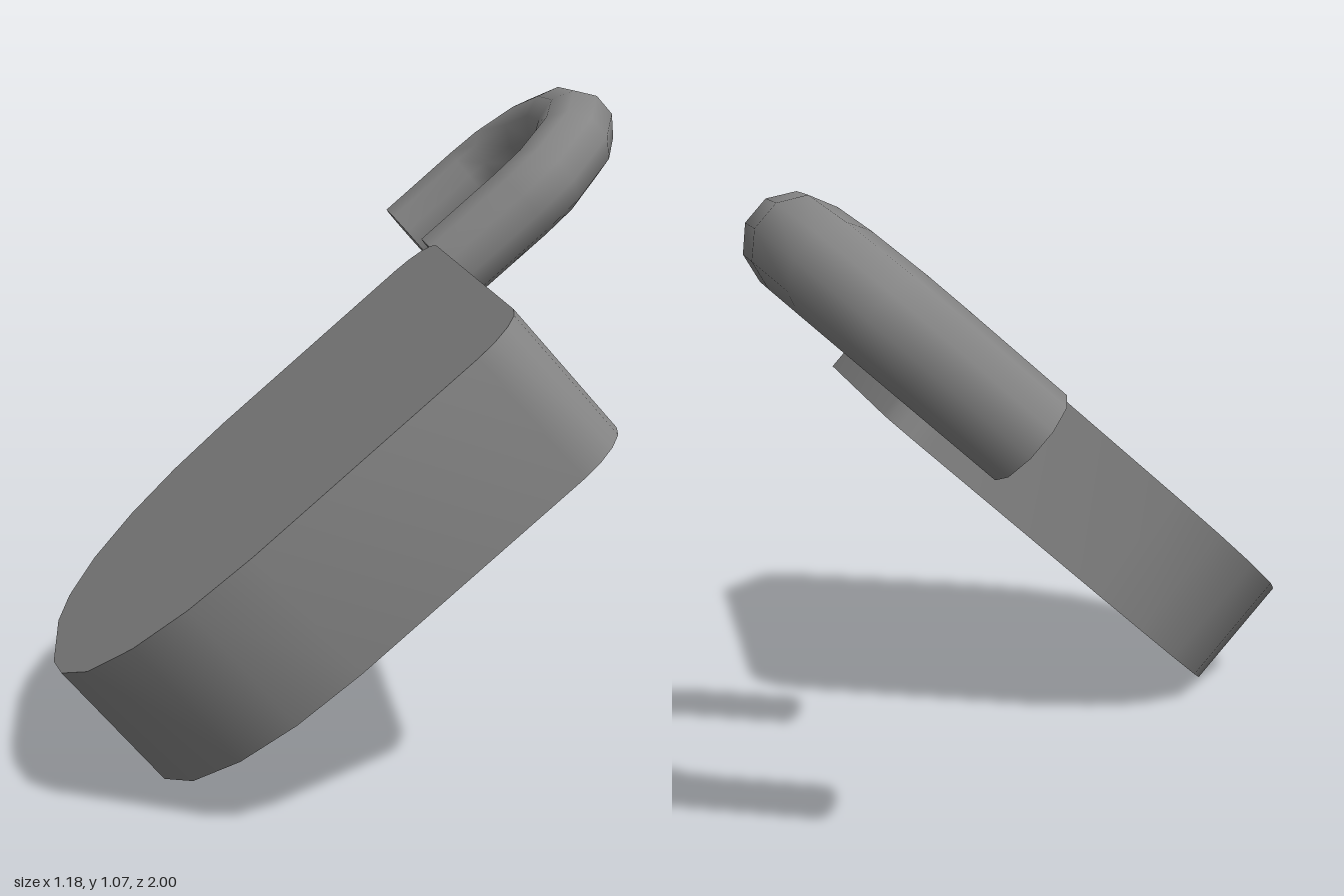
import * as THREE from 'three';
import { toCreasedNormals } from 'three/addons/utils/BufferGeometryUtils.js';

const TILT = Math.atan2(0.622, 0.712);
const material = new THREE.MeshStandardMaterial({ color: 0x858585 });

// Plate outline: x runs along the plate, y is half its width; the rounded end is at x = 0
function createBody() {
  const half = [[0, 0.12], [0.022, 0.23], [0.08, 0.347], [0.174, 0.437], [0.285, 0.49], [0.413, 0.511]];
  const r = 0.09;
  for (let i = 0; i <= 4; i++) {
    const a = (i / 4) * Math.PI / 2;
    half.push([0.946 - r + r * Math.sin(a), 0.511 - r + r * Math.cos(a)]);
  }
  const mirrored = half.map(([x, y]) => [x, -y]).reverse();
  const shape = new THREE.Shape([...half, ...mirrored].map(([x, y]) => new THREE.Vector2(x, y)));
  const geometry = new THREE.ExtrudeGeometry(shape, { depth: 0.246, bevelEnabled: false });
  geometry.rotateX(-Math.PI / 2);
  const body = new THREE.Mesh(toCreasedNormals(geometry, 0.7), material);
  body.name = 'lockBody';
  return body;
}

// Curve that places one tube ring exactly on each given point
class RingPath extends THREE.Curve {
  constructor(points) {
    super();
    this.points = points;
  }
  getPoint(t, target = new THREE.Vector3()) {
    const s = t * (this.points.length - 1);
    const i = Math.min(Math.floor(s + 1e-6), this.points.length - 2);
    return target.lerpVectors(this.points[i], this.points[i + 1], s - i);
  }
  getPointAt(t, target) {
    return this.getPoint(t, target);
  }
  getTangentAt(t, target = new THREE.Vector3()) {
    const last = this.points.length - 1;
    const i = Math.round(t * last);
    const p = this.points;
    const before = i > 0 ? p[i].clone().sub(p[i - 1]).normalize() : new THREE.Vector3();
    const after = i < last ? p[i + 1].clone().sub(p[i]).normalize() : new THREE.Vector3();
    return target.addVectors(before, after).normalize();
  }
}

// U-shaped bar with flat capped ends, laid out in the xy plane and then turned level
function createShackle() {
  const shackle = new THREE.Group();
  shackle.name = 'shackle';
  const radius = 0.083;
  const half = [[0, 0.309], [0.2, 0.309], [0.275, 0.294], [0.368, 0.206], [0.414, 0.08]];
  const mirrored = half.map(([x, y]) => [x, -y]).reverse();
  const points = [...half, ...mirrored].map(([x, y]) => new THREE.Vector3(x, y, 0));
  const geometry = new THREE.TubeGeometry(new RingPath(points), points.length - 1, radius, 10, false);
  geometry.rotateX(Math.PI / 2);
  const bar = new THREE.Mesh(geometry, material);
  bar.name = 'shackleBar';
  shackle.add(bar);

  for (const side of [1, -1]) {
    const cap = new THREE.Mesh(new THREE.CircleGeometry(radius, 10, Math.PI / 2), material);
    cap.name = side > 0 ? 'frontShackleEnd' : 'backShackleEnd';
    cap.rotation.y = -Math.PI / 2;
    cap.position.z = side * 0.309;
    shackle.add(cap);
  }
  return shackle;
}

export function createModel() {
  const model = new THREE.Group();
  model.name = 'padlock';

  const body = createBody();
  body.rotation.z = TILT;
  body.position.set(-0.43, 0, 0.487);

  const shackle = createShackle();
  shackle.rotation.z = TILT;
  shackle.position.set(0.196, 0.716, -0.612);

  model.add(body, shackle);
  return model;
}
